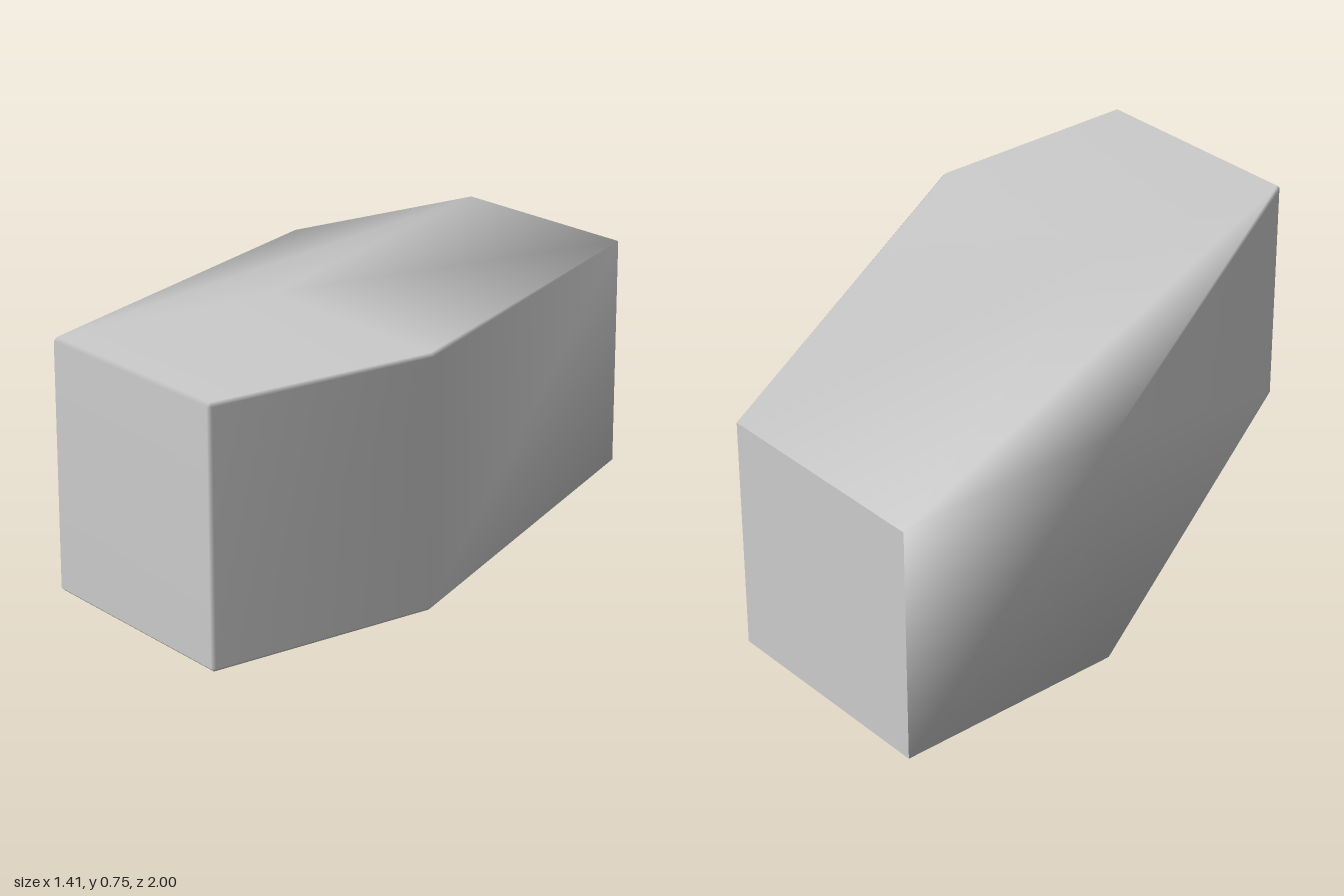
import * as THREE from 'three';
import { ConvexGeometry } from 'three/addons/geometries/ConvexGeometry.js';
import { mergeVertices } from 'three/addons/utils/BufferGeometryUtils.js';

// Corner points of a box; with a bevel each corner becomes three points.
function boxPoints(min, max, bevel = 0) {
  const points = [];
  for (let i = 0; i < 8; i++) {
    const sign = [i & 1, (i >> 1) & 1, (i >> 2) & 1].map((b) => (b ? 1 : -1));
    for (let axis = 0; axis < (bevel ? 3 : 1); axis++) {
      const c = sign.map((s, k) => {
        const edge = s > 0 ? max[k] : min[k];
        return bevel && k !== axis ? edge - s * bevel : edge;
      });
      points.push(new THREE.Vector3(...c));
    }
  }
  return points;
}

// Smooth normals all over, except for the flat back end.
function smoothWithFlatBack(hull) {
  hull.deleteAttribute('normal');
  const welded = mergeVertices(hull, 1e-5);
  welded.computeVertexNormals();
  const geometry = welded.toNonIndexed();
  const p = geometry.attributes.position;
  const n = geometry.attributes.normal;
  for (let i = 0; i < p.count; i += 3) {
    const onBack = [0, 1, 2].every((k) => p.getZ(i + k) < -0.999);
    if (onBack) for (let k = 0; k < 3; k++) n.setXYZ(i + k, 0, 0, -1);
  }
  return geometry;
}

export function createModel() {
  const group = new THREE.Group();
  group.name = 'slantedBlock';

  // Sharp back cube and softly bevelled front cube, wrapped in one hull
  const backCube = boxPoints([-0.707, 0, -1], [-0.005, 0.7, -0.3]);
  const frontCube = boxPoints([-0.025, 0.035, 0.28], [0.707, 0.755, 1], 0.01);
  const body = new THREE.Mesh(
    smoothWithFlatBack(new ConvexGeometry([...backCube, ...frontCube])),
    new THREE.MeshStandardMaterial({ color: 0xcccccc })
  );
  body.name = 'body';
  group.add(body);
  return group;
}
